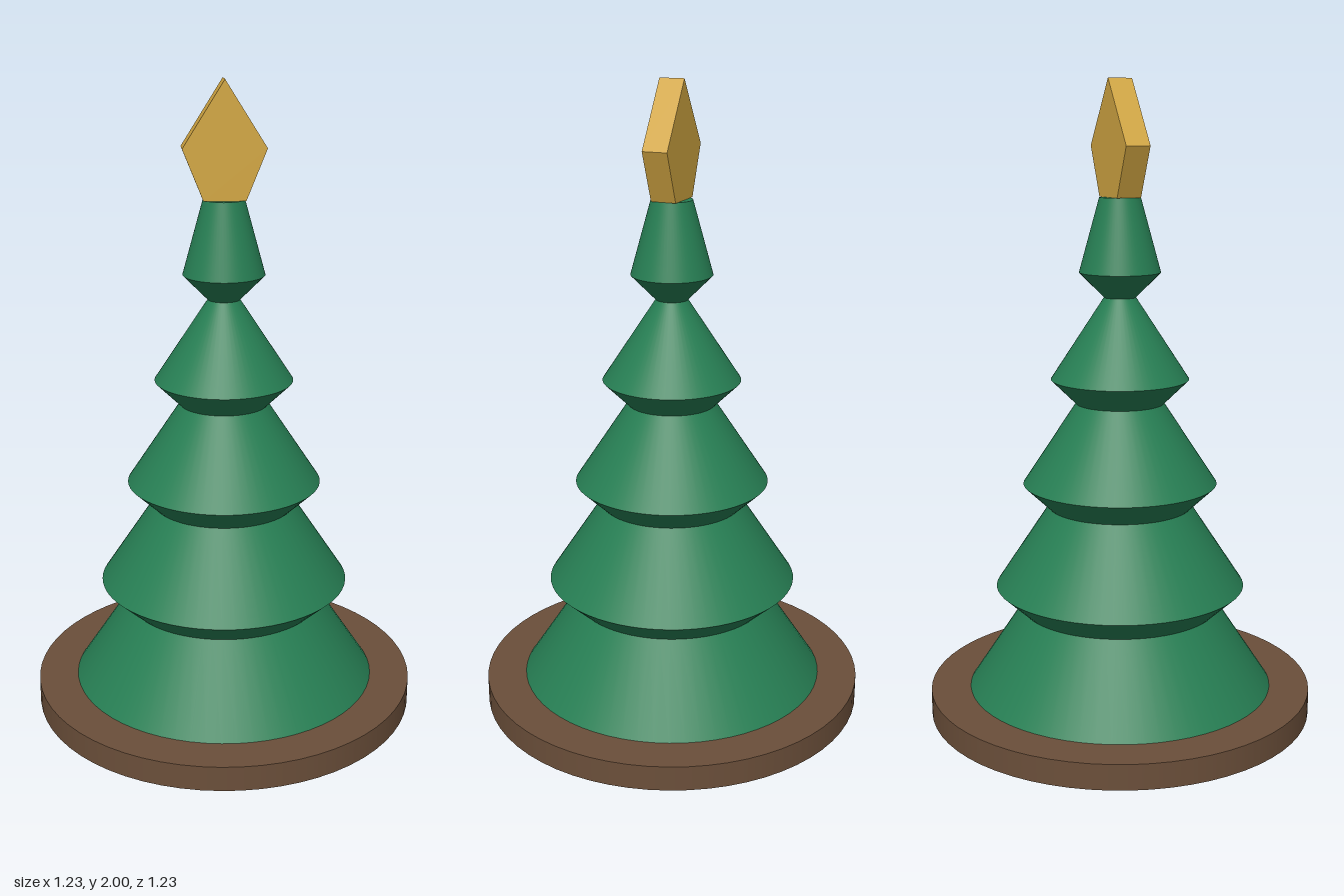
import * as THREE from 'three';

const green = new THREE.MeshStandardMaterial({ name: 'pine green', color: 0x277f54 });
const brown = new THREE.MeshStandardMaterial({ name: 'wood brown', color: 0x6b4f3a });
const gold = new THREE.MeshStandardMaterial({ name: 'gold', color: 0xd4a843 });

const SEGMENTS = 64;
const BASE_TOP = 0.08;
const TREE_TOP = 1.645;

function addMesh(parent, name, geometry, material) {
  const mesh = new THREE.Mesh(geometry, material);
  mesh.name = name;
  parent.add(mesh);
  return mesh;
}

// Smooth conical band; separate bands keep the rims sharp
function band(r0, y0, r1, y1) {
  return new THREE.LatheGeometry([new THREE.Vector2(r0, y0), new THREE.Vector2(r1, y1)], SEGMENTS);
}

export function createModel() {
  const model = new THREE.Group();
  model.name = 'tree';

  // Round wooden base
  addMesh(model, 'base', new THREE.CylinderGeometry(0.613, 0.613, BASE_TOP, SEGMENTS), brown)
    .position.y = BASE_TOP / 2;

  // Five tiers: each slopes in to a waist, then flares out to the next rim
  const foliage = new THREE.Group();
  foliage.name = 'foliage';
  model.add(foliage);
  const tiers = 5;
  for (let i = 0; i < tiers; i++) {
    const rimR = 0.487 - 0.09 * i;
    const rimY = BASE_TOP + 0.334 * i;
    const last = i === tiers - 1;
    const waistR = last ? 0.064 : 0.316 - 0.0887 * i;
    const waistY = last ? TREE_TOP : 0.339 + 0.333 * i;
    addMesh(foliage, `tier${i + 1}`, band(rimR, rimY, waistR, waistY), green);
    if (!last) {
      addMesh(foliage, `underside${i + 2}`, band(waistR, waistY, rimR - 0.09, rimY + 0.334), green);
    }
  }
  const cap = addMesh(foliage, 'treeTop', new THREE.CircleGeometry(0.064, SEGMENTS), green);
  cap.rotation.x = -Math.PI / 2;
  cap.position.y = TREE_TOP;

  // Flat kite-shaped topper
  const kite = new THREE.Shape([
    new THREE.Vector2(-0.064, TREE_TOP),
    new THREE.Vector2(0.064, TREE_TOP),
    new THREE.Vector2(0.127, 1.8),
    new THREE.Vector2(0, 2),
    new THREE.Vector2(-0.127, 1.8),
  ]);
  const depth = 0.08;
  addMesh(model, 'topper', new THREE.ExtrudeGeometry(kite, { depth, bevelEnabled: false }), gold)
    .position.z = -depth / 2;

  return model;
}
